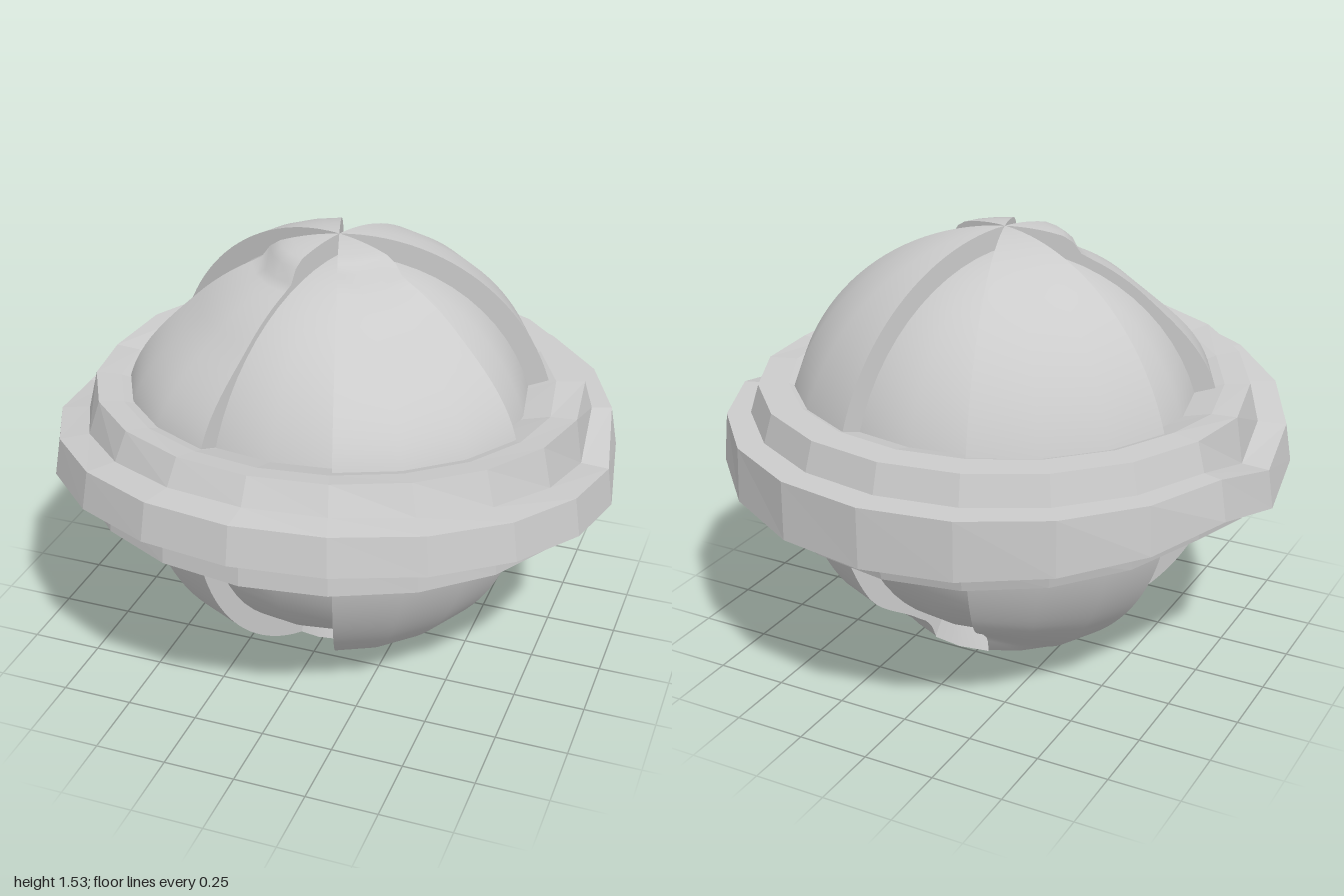
import * as THREE from 'three';
import { mergeGeometries } from 'three/addons/utils/BufferGeometryUtils.js';

const DEG = Math.PI / 180;
const CY = 0.767, CZ = -0.02;   // ball centre
const R = 0.764, FLOOR = 0.69;  // raised panels and groove floor

const smooth = THREE.MathUtils.smoothstep;

// Point on the ball: radius, polar angle from the top, azimuth from the front
function ballPoint(r, polar, azimuth) {
  const s = r * Math.sin(polar * DEG);
  return [s * Math.sin(azimuth * DEG), CY + r * Math.cos(polar * DEG), CZ + s * Math.cos(azimuth * DEG)];
}

// Surface through a grid of points; i runs down, j runs right when seen from outside
function grid(rows, cols, point) {
  const pos = [], index = [];
  for (let i = 0; i <= rows; i++)
    for (let j = 0; j <= cols; j++) pos.push(...point(i, j));
  const w = cols + 1;
  for (let i = 0; i < rows; i++)
    for (let j = 0; j < cols; j++) {
      const a = i * w + j, b = a + w;
      index.push(a, b, b + 1, a, b + 1, a + 1);
    }
  const g = new THREE.BufferGeometry();
  g.setAttribute('position', new THREE.Float32BufferAttribute(pos, 3));
  g.setIndex(index);
  g.computeVertexNormals();
  return g;
}

// Raised radius with a shallow dent on the upper front and the lower back
function raisedRadius(polar, azimuth) {
  const front = Math.abs(THREE.MathUtils.euclideanModulo(azimuth + 180, 360) - 180);
  const back = 180 - front, low = 180 - polar;
  const top = smooth(polar, 16, 22) * (1 - smooth(polar, 42, 72)) * (1 - smooth(front, 60, 95));
  const bottom = smooth(low, 26, 32) * (1 - smooth(low, 38, 58)) * (1 - smooth(back, 15, 55));
  return R - 0.054 * top - 0.05 * bottom;
}

// Raised panel between two seams, with walls down to the groove floor
function panelGeometry(a0, a1) {
  const rows = 60, end = 180, inner = FLOOR - 0.03;
  const polar = (i) => (i / rows) * end;
  const outer = (i, a) => ballPoint(raisedRadius(polar(i), a), polar(i), a);
  const deep = (i, a) => ballPoint(inner, polar(i), a);
  return mergeGeometries([
    grid(rows, 3, (i, j) => outer(i, a0 + ((a1 - a0) * j) / 3)),
    grid(rows, 1, (i, j) => (j ? outer(i, a0) : deep(i, a0))),
    grid(rows, 1, (i, j) => (j ? deep(i, a1) : outer(i, a1))),
  ]);
}

// Full-height stop that closes a groove near the bottom pole
function stopGeometry(azimuth, start) {
  const a = (j) => azimuth - 18 + 18 * j;
  return mergeGeometries([
    grid(8, 2, (i, j) => ballPoint(R, start + ((180 - start) * i) / 8, a(j))),
    grid(1, 2, (i, j) => ballPoint(i ? R : FLOOR - 0.03, start, a(j))),
  ]);
}

// Belt cross-sections as [radius, height], from the top ledge round to the underside
const BELT = {
  front: [[0.6, 0.99], [0.74, 1.04], [0.82, 1.055], [0.87, 0.97], [0.975, 0.965], [1, 0.835], [0.9, 0.83], [0.91, 0.705], [0.6, 0.67]],
  side: [[0.6, 0.94], [0.76, 0.985], [0.85, 0.99], [0.875, 0.83], [0.97, 0.825], [0.99, 0.69], [0.89, 0.7], [0.885, 0.63], [0.6, 0.62]],
  joint: [[0.6, 0.95], [0.76, 1], [0.86, 1], [0.89, 0.9], [0.96, 0.9], [0.985, 0.76], [0.89, 0.76], [0.88, 0.66], [0.6, 0.66]],
  back: [[0.6, 0.95], [0.76, 1], [0.87, 1], [0.9, 0.9], [1, 0.9], [1, 0.69], [0.89, 0.69], [0.865, 0.59], [0.6, 0.6]],
};

// Stepped belt: the front half tilts upward, the back half runs level
function beltGeometry() {
  return grid(BELT.front.length - 1, 20, (i, j) => {
    const a = j * 18 * DEG, c = Math.cos(a);
    const isFront = c > -0.01;
    const from = isFront ? BELT.side[i] : BELT.joint[i];
    const to = isFront ? BELT.front[i] : BELT.back[i];
    const t = isFront ? Math.max(c, 0) : (-c - 0.309) / 0.691;
    const r = THREE.MathUtils.lerp(from[0], to[0], t);
    const y = THREE.MathUtils.lerp(from[1], to[1], t);
    return [r * Math.sin(a), y, r * c];
  });
}

export function createModel() {
  const model = new THREE.Group();
  model.name = 'beltedBall';
  const material = new THREE.MeshStandardMaterial({ color: 0xcccccc });
  const flat = new THREE.MeshStandardMaterial({ color: 0xcccccc, flatShading: true });
  const add = (name, geometry, mat = material) => {
    const mesh = new THREE.Mesh(geometry, mat);
    mesh.name = name;
    model.add(mesh);
    return mesh;
  };

  // Inner ball forming the groove floors
  add('grooveFloor', new THREE.SphereGeometry(FLOOR, 20, 32)).position.set(0, CY, CZ);

  // Four raised panels between the grooves
  ['frontLeft', 'backLeft', 'backRight', 'frontRight'].forEach((side, k) =>
    add(side + 'Panel', panelGeometry(18 + 90 * k, 72 + 90 * k)));

  // Groove stops at the bottom; the back one reaches further out
  ['front', 'left', 'back', 'right'].forEach((side, k) =>
    add(side + 'GrooveStop', stopGeometry(90 * k, side === 'back' ? 153 : 163)));

  // Stepped belt round the middle
  add('belt', beltGeometry(), flat);
  return model;
}
